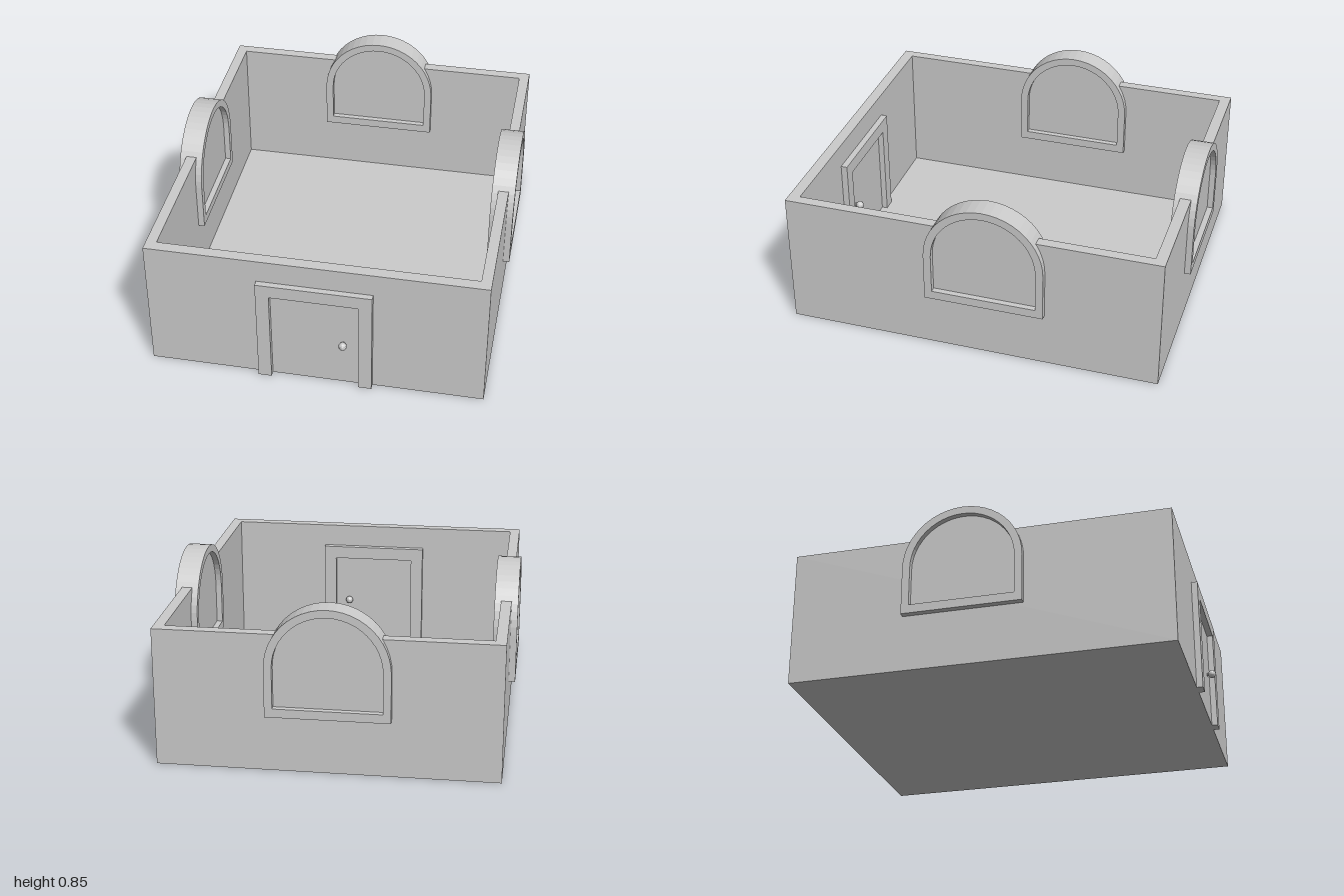
import * as THREE from 'three';

const material = new THREE.MeshStandardMaterial({ color: 0xcccccc, flatShading: true });

function addMesh(parent, name, geometry, x = 0, y = 0, z = 0) {
  const mesh = new THREE.Mesh(geometry, material);
  mesh.name = name;
  mesh.position.set(x, y, z);
  parent.add(mesh);
  return mesh;
}

// Extrusion centred on its own depth
function slab(shape, depth) {
  const geometry = new THREE.ExtrudeGeometry(shape, { depth, bevelEnabled: false, curveSegments: 12 });
  return geometry.translate(0, 0, -depth / 2);
}

// Straight sides with a half-round head
function archShape(halfWidth, bottom, spring) {
  const s = new THREE.Shape();
  s.moveTo(-halfWidth, bottom);
  s.lineTo(halfWidth, bottom);
  s.lineTo(halfWidth, spring);
  s.absarc(0, spring, halfWidth, 0, Math.PI, false);
  s.lineTo(-halfWidth, bottom);
  return s;
}

function rectShape(x0, y0, x1, y1) {
  return new THREE.Shape([[x0, y0], [x1, y0], [x1, y1], [x0, y1]].map(([x, y]) => new THREE.Vector2(x, y)));
}

// Arched frame around a recessed pane as thick as the wall
function createWindow(name) {
  const group = new THREE.Group();
  group.name = name;
  const frame = archShape(0.305, 0.29, 0.54);
  frame.holes.push(archShape(0.266, 0.335, 0.54));
  addMesh(group, 'windowFrame', slab(frame, 0.118));
  addMesh(group, 'windowPane', slab(archShape(0.268, 0.333, 0.54), 0.058));
  return group;
}

// Door panel in a three-sided frame, a knob on each face
function createDoor() {
  const group = new THREE.Group();
  group.name = 'door';
  const outline = [[-0.287, 0], [-0.22, 0], [-0.22, 0.513], [0.22, 0.513],
    [0.22, 0], [0.287, 0], [0.287, 0.582], [-0.287, 0.582]];
  const frame = new THREE.Shape(outline.map(([x, y]) => new THREE.Vector2(x, y)));
  addMesh(group, 'doorFrame', slab(frame, 0.122));
  addMesh(group, 'doorPanel', new THREE.BoxGeometry(0.44, 0.513, 0.062), 0, 0.2565, 0);
  for (const side of [1, -1]) {
    addMesh(group, 'doorKnob', new THREE.SphereGeometry(0.021, 12, 8), 0.142, 0.255, side * 0.056);
    const stem = new THREE.CylinderGeometry(0.009, 0.009, 0.03, 10).rotateX(Math.PI / 2);
    addMesh(group, 'knobStem', stem, 0.142, 0.255, side * 0.036);
  }
  return group;
}

export function createModel() {
  const model = new THREE.Group();
  model.name = 'room';

  // Four walls as one ring, extruded upwards
  const ring = rectShape(-0.843, -0.953, 0.843, 0.968);
  ring.holes.push(rectShape(-0.79, -0.895, 0.79, 0.912));
  const walls = new THREE.ExtrudeGeometry(ring, { depth: 0.702, bevelEnabled: false }).rotateX(-Math.PI / 2);
  addMesh(model, 'walls', walls);
  addMesh(model, 'floor', new THREE.BoxGeometry(1.62, 0.01, 1.85), 0, 0.005, -0.008);

  // Side windows, mirrored, and the back window
  for (const side of [1, -1]) {
    const win = createWindow(side > 0 ? 'leftWindow' : 'rightWindow');
    win.rotation.y = side * Math.PI / 2;
    win.position.set(side * 0.817, 0, -0.084);
    model.add(win);
  }
  const back = createWindow('backWindow');
  back.position.set(-0.008, 0, -0.941);
  model.add(back);

  const door = createDoor();
  door.position.z = 0.923;
  model.add(door);
  return model;
}
